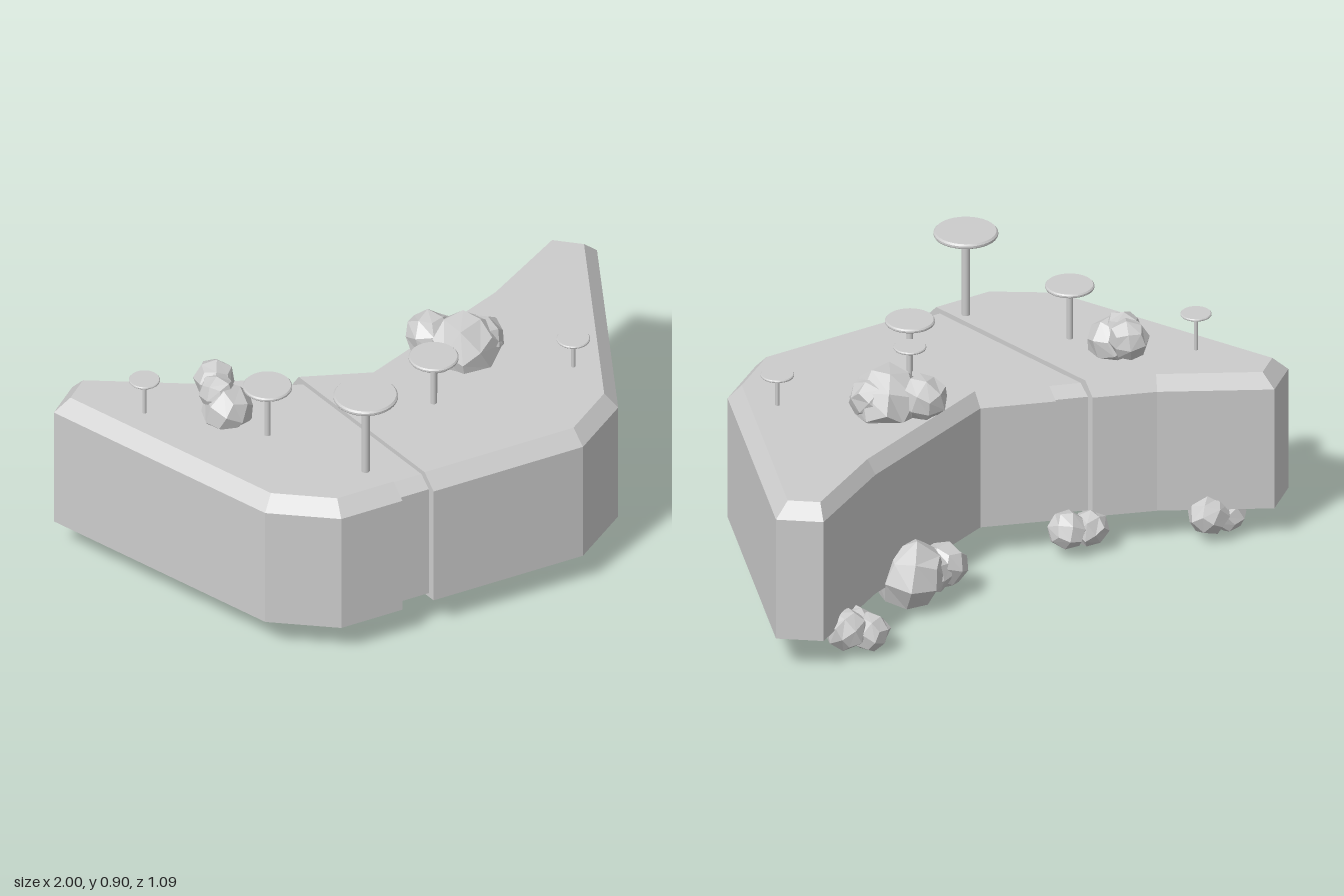
import * as THREE from 'three';
import { toCreasedNormals } from 'three/addons/utils/BufferGeometryUtils.js';

const mat = new THREE.MeshStandardMaterial({ color: 0xcccccc });
const flatMat = new THREE.MeshStandardMaterial({ color: 0xcccccc, flatShading: true });

// Moves each edge of a counter-clockwise outline inwards by its own distance
function inset(pts, dist) {
  const n = pts.length;
  const lines = pts.map((p, i) => {
    const d = pts[(i + 1) % n].clone().sub(p).normalize();
    return { p: p.clone().add(new THREE.Vector2(-d.y, d.x).multiplyScalar(dist[i])), d };
  });
  return lines.map((b, i) => {
    const a = lines[(i + n - 1) % n];
    const t = b.p.clone().sub(a.p).cross(b.d) / a.d.cross(b.d);
    return a.p.clone().addScaledVector(a.d, t);
  });
}

// Joins outlines at rising heights into a closed solid
function loft(rings, heights) {
  const pos = [];
  const put = (r, i) => pos.push(rings[r][i].x, heights[r], -rings[r][i].y);
  const n = rings[0].length, top = rings.length - 1;
  for (let r = 0; r < top; r++) {
    for (let i = 0; i < n; i++) {
      const j = (i + 1) % n;
      put(r, i); put(r, j); put(r + 1, j);
      put(r, i); put(r + 1, j); put(r + 1, i);
    }
  }
  for (const [a, b, c] of THREE.ShapeUtils.triangulateShape(rings[0], [])) {
    put(0, a); put(0, c); put(0, b);
  }
  for (const [a, b, c] of THREE.ShapeUtils.triangulateShape(rings[top], [])) {
    put(top, a); put(top, b); put(top, c);
  }
  const g = new THREE.BufferGeometry();
  g.setAttribute('position', new THREE.Float32BufferAttribute(pos, 3));
  g.computeVertexNormals();
  return g;
}

const outline = (xz) => xz.map(([x, z]) => new THREE.Vector2(x, -z));

function slab(name, pts, bevel, y0, y1, y2) {
  const mesh = new THREE.Mesh(loft([pts, pts, inset(pts, bevel)], [y0, y1, y2]), flatMat);
  mesh.name = name;
  return mesh;
}

// Faceted boulder: a subdivided cube pushed out to an uneven ball
function boulder(x, y, z, r, seed) {
  const g = new THREE.BoxGeometry(1, 1, 1, 2, 2, 2);
  const p = g.attributes.position, v = new THREE.Vector3();
  for (let i = 0; i < p.count; i++) {
    v.fromBufferAttribute(p, i);
    const h = Math.sin(v.x * 25.3 + v.y * 47.1 + v.z * 71.7 + seed * 13.7) * 43.5;
    v.normalize().multiplyScalar(r * (0.95 + 0.13 * (h - Math.floor(h))));
    p.setXYZ(i, v.x, v.y, v.z);
  }
  const m = new THREE.Mesh(g, flatMat);
  m.position.set(x, y, z);
  m.rotation.set(seed * 1.3, seed * 2.1, seed * 0.7);
  m.name = 'boulder';
  return m;
}

function mushroom(x, z, r, top) {
  const g = new THREE.Group();
  g.name = 'mushroom';
  const h = 0.4 * r, ground = 0.57, stemH = top - h - ground + 0.005;
  const stem = new THREE.Mesh(new THREE.CylinderGeometry(r * 0.13, r * 0.13, stemH, 16), mat);
  stem.position.y = ground + stemH / 2;
  stem.name = 'stem';
  const profile = [[0, 0], [0.32, 0], [0.98, 0.62], [1, 0.7], [1, 0.86], [0.95, 1], [0, 1]]
    .map(([a, b]) => new THREE.Vector2(a * r, b * h));
  const cap = new THREE.Mesh(toCreasedNormals(new THREE.LatheGeometry(profile, 32), 0.5), mat);
  cap.position.y = top - h;
  cap.name = 'cap';
  g.add(stem, cap);
  g.position.set(x, 0, z);
  return g;
}

export function createModel() {
  const model = new THREE.Group();
  model.name = 'crescentPlatform';

  // Platform halves, bevelled on every edge except the groove
  const left = outline([[-0.65, 0.4], [-0.445, 0.545], [-0.22, 0.545], [-0.35, -0.25],
    [-0.55, -0.33], [-0.88, -0.525], [-1, -0.425]]);
  const right = outline([[-0.105, 0.545], [0.445, 0.545], [0.65, 0.4], [1, -0.425],
    [0.88, -0.525], [0.55, -0.33], [0, -0.115], [-0.235, -0.207]]);
  model.add(slab('platformRightHalf', left, [0.045, 0.048, 0, 0.03, 0.03, 0.045, 0.045], 0.12, 0.555, 0.605));
  model.add(slab('platformLeftHalf', right, [0.048, 0.045, 0.045, 0.045, 0.03, 0.03, 0.03, 0], 0.12, 0.555, 0.605));

  // Recessed strip between the halves
  const gap = outline([[-0.22, 0.545], [-0.105, 0.545], [-0.235, -0.207], [-0.35, -0.25]]);
  model.add(slab('grooveStrip', inset(gap, [0.025, -0.01, 0.02, -0.01]), [0.04, 0, 0.03, 0], 0.135, 0.55, 0.588));

  // Mushrooms: x, z, cap radius, height
  for (const m of [[-0.28, 0.4, 0.106, 0.912], [-0.47, 0.07, 0.081, 0.803], [0.095, 0.16, 0.082, 0.793],
    [0.128, 0.11, 0.054, 0.725], [-0.77, -0.225, 0.051, 0.74], [0.595, 0.187, 0.055, 0.72]]) {
    model.add(mushroom(...m));
  }

  // Boulders: x, y, z, radius
  const clusters = {
    topBouldersLeft: [[0.315, 0.64, -0.035, 0.12], [0.23, 0.66, -0.125, 0.08], [0.37, 0.66, -0.03, 0.075]],
    topBouldersRight: [[-0.54, 0.64, -0.08, 0.085], [-0.535, 0.69, -0.18, 0.068], [-0.56, 0.69, -0.11, 0.062]],
    lowerBouldersLeft: [[0.38, 0.125, -0.28, 0.118], [0.25, 0.12, -0.28, 0.078], [0.31, 0.12, -0.3, 0.07]],
    lowerBouldersLeftTip: [[0.67, 0.08, -0.485, 0.065], [0.75, 0.1, -0.46, 0.07], [0.69, 0.085, -0.43, 0.065]],
    lowerBouldersRight: [[-0.335, 0.085, -0.255, 0.065], [-0.25, 0.1, -0.25, 0.066]],
    lowerBouldersRightTip: [[-0.78, 0.08, -0.4, 0.062], [-0.7, 0.1, -0.405, 0.07]],
  };
  let seed = 1;
  for (const [name, list] of Object.entries(clusters)) {
    const group = new THREE.Group();
    group.name = name;
    for (const b of list) group.add(boulder(...b, seed++));
    model.add(group);
  }
  return model;
}
